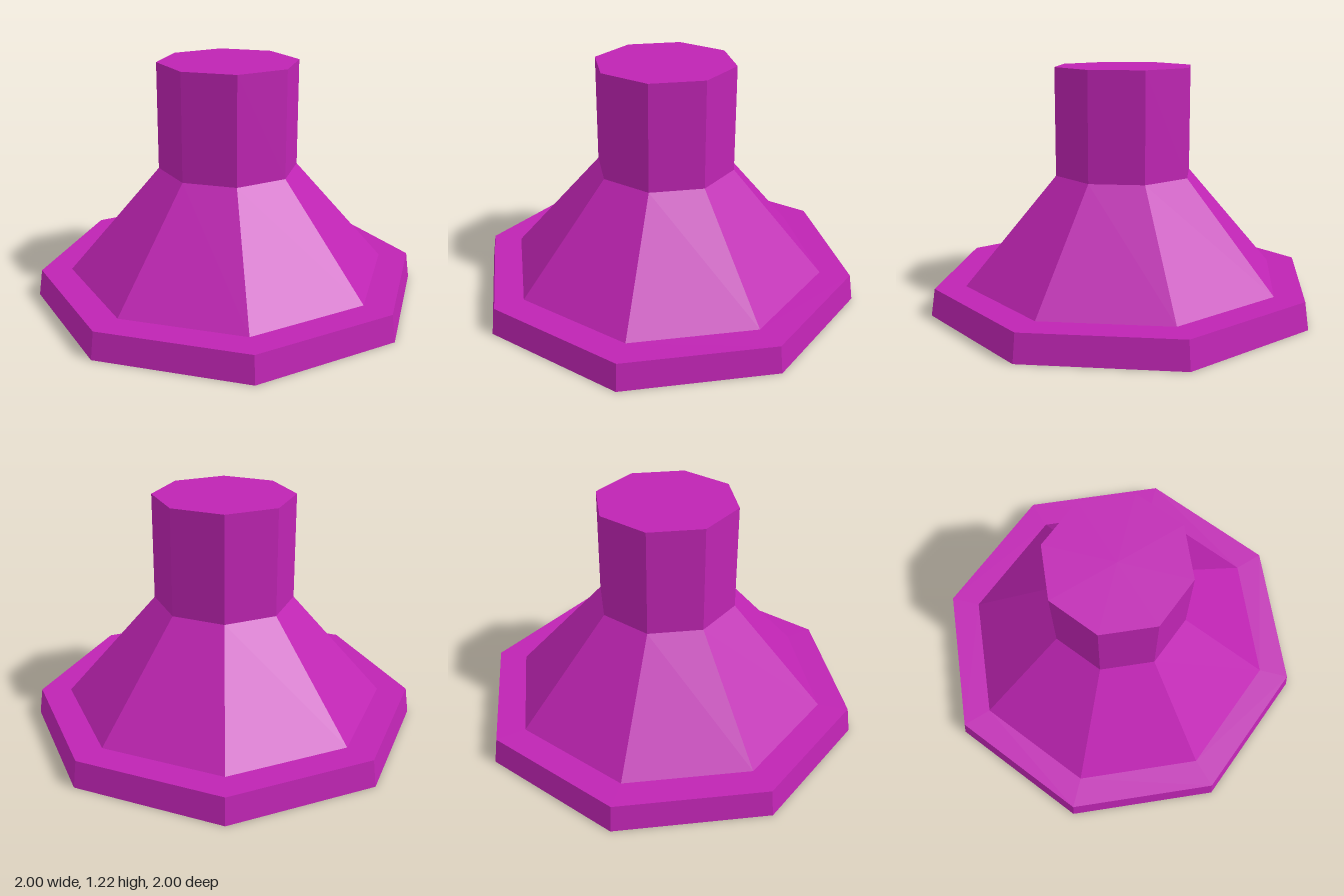
import * as THREE from 'three';

const SIDES = 8;

export function createModel() {
  const model = new THREE.Group();
  model.name = 'pedestalKnob';

  const magenta = new THREE.MeshStandardMaterial({ color: 0xbf24b3, flatShading: true });
  magenta.name = 'magenta';

  // Eight-sided turned part from a [radius, height] profile, listed bottom to top
  function turned(name, profile) {
    const points = profile.map(([r, y]) => new THREE.Vector2(r, y));
    const mesh = new THREE.Mesh(new THREE.LatheGeometry(points, SIDES), magenta);
    mesh.name = name;
    model.add(mesh);
  }

  // Base plate: closed underside, slightly tapered rim, flat ledge around the cone
  turned('basePlate', [[0, 0], [1, 0], [0.98, 0.137], [0.825, 0.137]]);

  // Sloping skirt between the plate and the stem
  turned('skirt', [[0.825, 0.137], [0.357, 0.676]]);

  // Straight stem with a flat top
  turned('stem', [[0.357, 0.676], [0.357, 1.22], [0, 1.22]]);

  return model;
}
